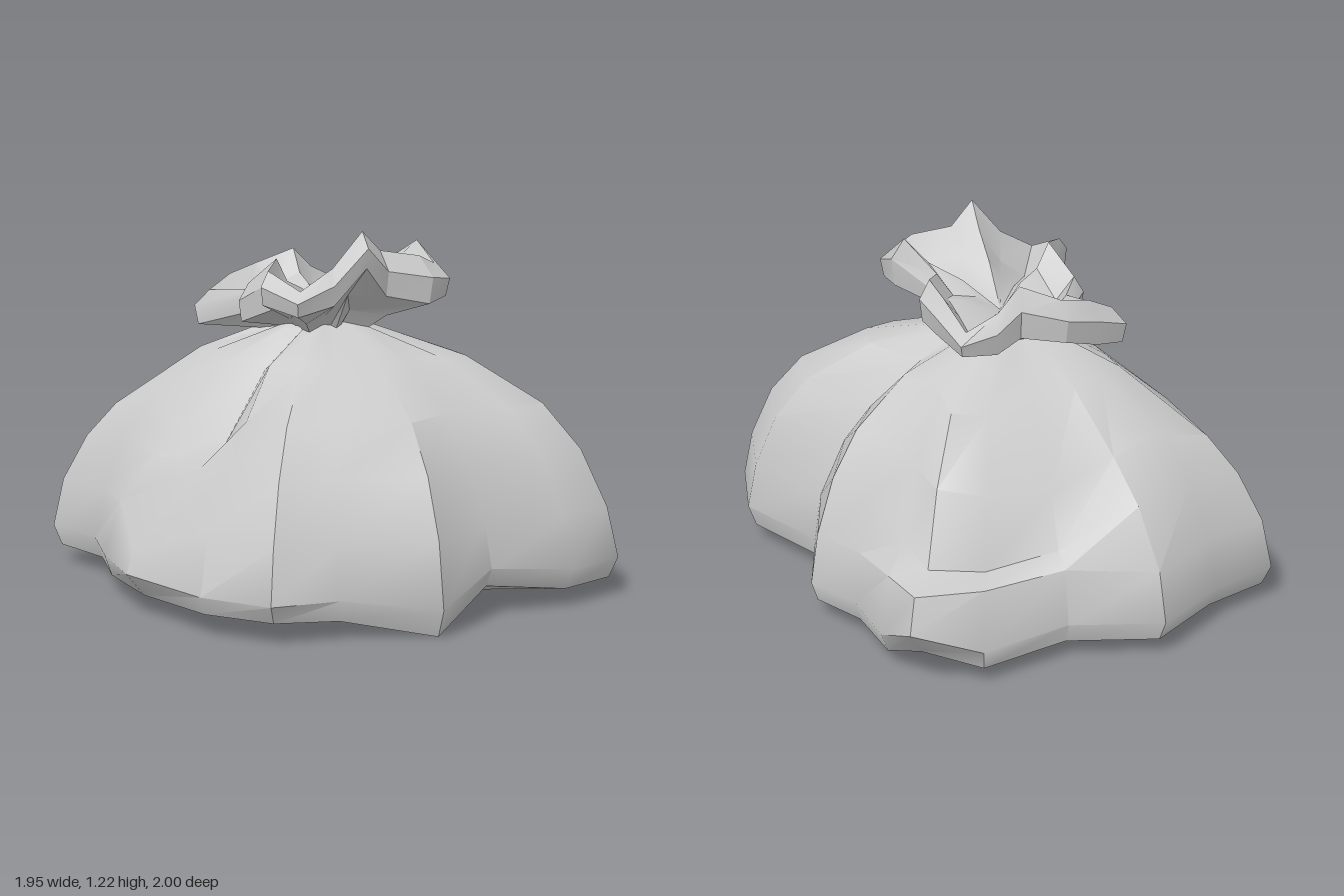
import * as THREE from 'three';
import { toCreasedNormals } from 'three/addons/utils/BufferGeometryUtils.js';

const material = new THREE.MeshStandardMaterial({ color: 0xcccccc, side: THREE.DoubleSide });

// Skins a stack of closed rings (arrays of [x, y, z]), lowest or outermost first.
function loft(rings, name, crease) {
  const n = rings[0].length, index = [];
  for (let r = 0; r < rings.length - 1; r++) {
    for (let c = 0; c < n; c++) {
      const a = r * n + c, b = r * n + (c + 1) % n;
      index.push(a, a + n, b, b, a + n, b + n);
    }
  }
  const geometry = new THREE.BufferGeometry();
  geometry.setAttribute('position', new THREE.Float32BufferAttribute(rings.flat(2), 3));
  geometry.setIndex(index);
  const mesh = new THREE.Mesh(toCreasedNormals(geometry, crease), material);
  mesh.name = name;
  return mesh;
}

// Widest outline of the sack, as [x, z]
const outline = [
  [0.14, -1], [0.26, -0.84], [0.38, -0.64], [0.55, -0.52], [0.6, -0.2], [0.89, 0.03], [0.97, 0.32],
  [0.8, 0.49], [0.52, 0.62], [0.35, 0.89], [0.03, 0.92], [-0.18, 1], [-0.4, 0.87], [-0.65, 0.6],
  [-0.75, 0.28], [-0.81, 0], [-0.98, -0.22], [-0.8, -0.4], [-0.64, -0.66], [-0.33, -0.71], [-0.08, -0.92],
];

// Sack profile: [share of the outline, height]
const profile = [
  [0.03, 0.13], [0.18, 0.09], [0.4, 0.06], [0.72, 0.05], [0.97, 0.06], [1, 0.13],
  [0.96, 0.3], [0.87, 0.49], [0.74, 0.64], [0.48, 0.79], [0.2, 0.88], [0.08, 0.92],
];

// Folds and dents: outline point -> { profile row: [share, height] }
const folds = {
  0: { 4: [0.88, 0.1], 5: [1, 0.22], 6: [0.95, 0.33], 7: [0.8, 0.35], 8: [0.69, 0.58], 9: [0.52, 0.77] },
  1: { 4: [0.95, 0.05], 6: [0.93, 0.31], 7: [0.8, 0.38], 8: [0.7, 0.61] },
  4: { 7: [0.82, 0.5], 8: [0.67, 0.62], 9: [0.4, 0.77] },
  8: { 4: [0.97, 0.1], 5: [1, 0.16] },
  9: { 4: [0.96, 0], 5: [1, 0.09] },
  11: { 4: [0.96, 0.07] },
  12: { 4: [0.97, 0.07], 6: [0.94, 0.33], 7: [0.78, 0.5], 8: [0.66, 0.63] },
  13: { 4: [0.92, 0.06], 5: [1, 0.14], 6: [0.97, 0.21], 7: [0.64, 0.45], 8: [0.52, 0.52], 9: [0.32, 0.75] },
  14: { 6: [0.93, 0.31], 7: [0.78, 0.46], 8: [0.68, 0.55], 9: [0.46, 0.77] },
  16: { 7: [0.87, 0.46], 8: [0.76, 0.58], 9: [0.45, 0.79] },
  18: { 7: [0.84, 0.49], 8: [0.7, 0.62] },
  19: { 6: [0.95, 0.31], 7: [0.87, 0.35], 8: [0.77, 0.52] },
  20: { 6: [0.94, 0.32], 7: [0.84, 0.34], 8: [0.74, 0.56], 9: [0.52, 0.75] },
};

// Outline points whose underside sags down to the ground
const sagging = [9, 10, 11, 12, 13, 16, 17, 18, 19];

function createSack() {
  const rings = profile.map((row, r) => outline.map(([x, z], c) => {
    let [s, y] = folds[c]?.[r] ?? row;
    if ((r === 2 || r === 3) && sagging.includes(c)) y = 0.01;
    // Gathered folds underneath
    if (r > 0 && r < 3 && c % 2) s *= 0.85;
    // Pleats running up to the neck
    if (r > 9 && c % 3 === 0) s *= 0.75;
    return [x * s - 0.02 * (s < 0.3), y, z * s];
  }));
  return loft(rings, 'sack', 0.7);
}

// Gathered top: [x, z, underside height, rim height]
const ruffle = [
  [0.05, -0.44, 0.93, 1.0], [0.15, -0.29, 0.94, 1.06], [0.22, -0.2, 0.96, 1.1], [0.21, -0.07, 0.98, 1.08],
  [0.35, 0.03, 1.0, 1.17], [0.41, 0.15, 0.99, 1.1], [0.35, 0.22, 0.97, 1.13], [0.2, 0.27, 1.0, 1.15],
  [0.13, 0.37, 1.1, 1.22], [0.02, 0.4, 0.98, 1.1], [-0.1, 0.47, 0.95, 1.03], [-0.22, 0.37, 0.98, 1.09],
  [-0.19, 0.22, 0.95, 1.12], [-0.3, 0.12, 0.9, 1.03], [-0.28, 0.0, 0.92, 1.0], [-0.46, -0.08, 0.87, 0.99],
  [-0.38, -0.17, 0.89, 1.04], [-0.28, -0.27, 0.93, 1.07], [-0.13, -0.3, 0.95, 1.12], [-0.06, -0.38, 0.92, 1.05],
];

function createRuffle() {
  // Each row: share of the outline, then height from the underside and rim heights
  const rows = [
    [0.27, () => 0.83],
    [0.6, (low) => 0.4 * 0.85 + 0.6 * low],
    [0.97, (low) => low],
    [1, (low, top) => 0.45 * low + 0.55 * top],
    [0.88, (low, top) => top],
    [0.66, (low, top) => top - 0.08],
    [0.35, (low, top) => 0.5 * top + 0.45],
    [0.02, () => 0.94],
  ];
  const rings = rows.map(([s, height], r) => ruffle.map(([x, z, low, top], c) => {
    // Pinch every other pleat on the way up to the edge
    const k = r < 2 && c % 2 ? s * 0.75 : s;
    return [-0.03 + (x + 0.03) * k, height(low, top), z * k];
  }));
  return loft(rings, 'gatheredTop', 0.5);
}

export function createModel() {
  const bag = new THREE.Group();
  bag.name = 'tiedBag';
  bag.add(createSack(), createRuffle());
  return bag;
}
